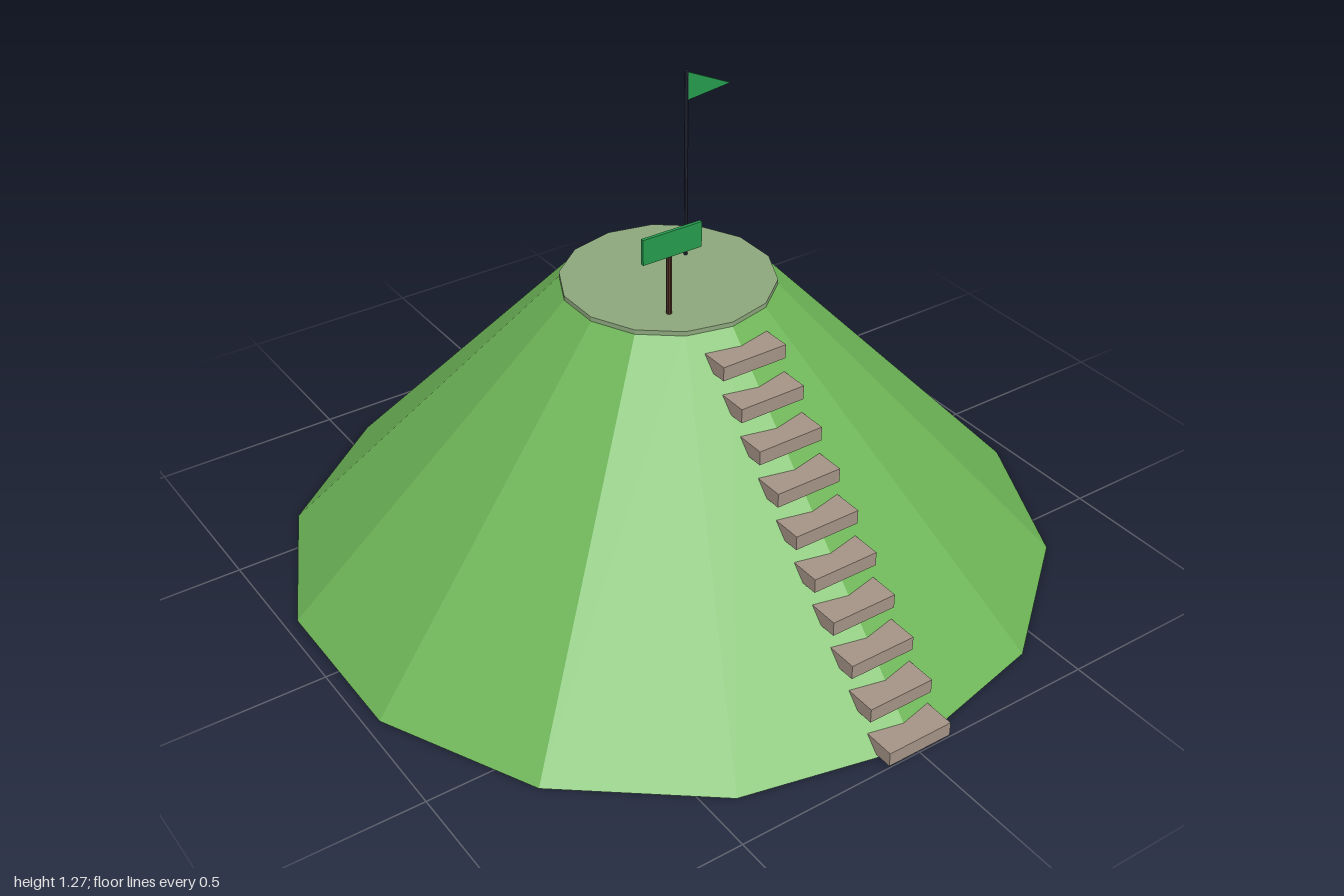
import * as THREE from 'three';

const mat = (name, color, opts = {}) => {
  const m = new THREE.MeshStandardMaterial({ color, flatShading: true, ...opts });
  m.name = name;
  return m;
};

export function createModel() {
  const grass = mat('grass green', 0x6eb557);
  const summitTop = mat('pale sage', 0x8ca67c);
  const stone = mat('warm stone', 0xa39385);
  const signGreen = mat('sign green', 0x259a4d);
  const wood = mat('dark wood', 0x4a2f25);
  const metal = mat('dark metal', 0x25283a);

  const model = new THREE.Group();
  model.name = 'hill';
  const add = (name, geometry, material, x, y, z) => {
    const mesh = new THREE.Mesh(geometry, material);
    mesh.name = name;
    mesh.position.set(x, y, z);
    model.add(mesh);
    return mesh;
  };

  // Fourteen-sided mound with a thin plateau on top
  const sides = 14, centreZ = -0.01;
  add('mound', new THREE.CylinderGeometry(0.262, 0.99, 0.77, sides), grass, 0, 0.385, centreZ);
  add('plateau', new THREE.CylinderGeometry(0.268, 0.268, 0.012, sides), summitTop, 0, 0.77, centreZ);

  // Straight flight of ten steps up the front ridge
  const steps = 10;
  for (let i = 0; i < steps; i++) {
    const t = i / (steps - 1);
    add('step' + (i + 1), new THREE.BoxGeometry(0.18, 0.037, 0.09), stone,
      0, 0.024 + t * 0.685, 0.955 - t * 0.653);
  }

  // Sign on a wooden post
  add('signPost', new THREE.CylinderGeometry(0.007, 0.007, 0.21, 8), wood, -0.1, 0.876, 0.139);
  add('signBoard', new THREE.BoxGeometry(0.164, 0.066, 0.009), signGreen, -0.1, 0.969, 0.15);

  // Flagpole with a pennant
  add('flagPole', new THREE.CylinderGeometry(0.005, 0.005, 0.497, 8), metal, 0.097, 1.0215, -0.074);
  const pennant = new THREE.Shape();
  pennant.moveTo(0, 0.072);
  pennant.lineTo(0, 0);
  pennant.lineTo(0.124, 0.014);
  pennant.closePath();
  add('pennant', new THREE.ExtrudeGeometry(pennant, { depth: 0.006, bevelEnabled: false }),
    signGreen, 0.1, 1.194, -0.077);

  return model;
}
